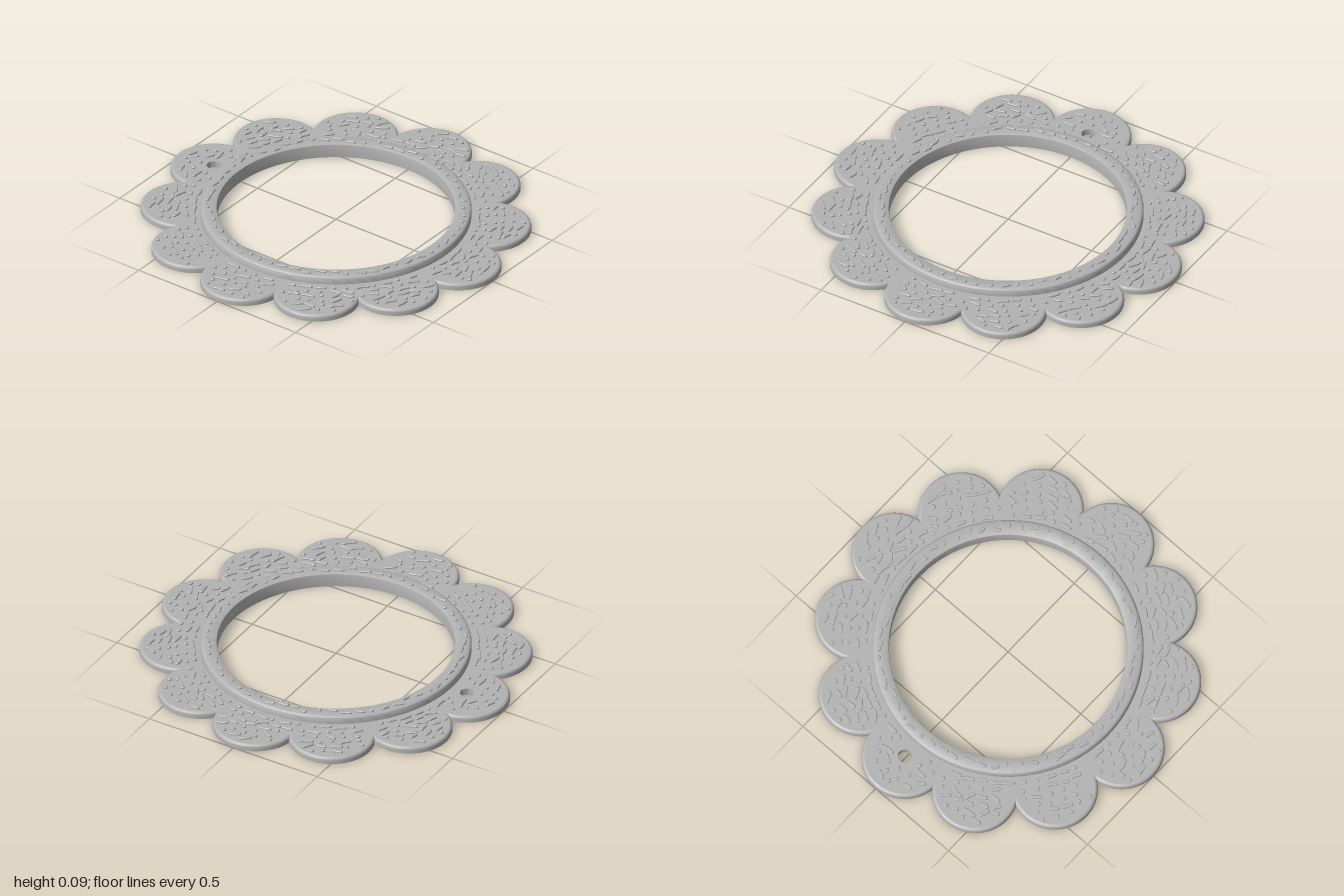
import * as THREE from 'three';
import { mergeGeometries, toCreasedNormals } from 'three/addons/utils/BufferGeometryUtils.js';

const PETALS = 12, CENTRE = 0.78, LOBE = 0.22;      // petal circles
const PLATE_TOP = 0.035, RING_TOP = 0.076, INNER = 0.605, OUTER = 0.69;
const HANG = { x: 0, z: -0.78, r: 0.036 };
const BLIND = [0, 1, 2].map(i => {
  const a = i * Math.PI * 2 / 3;
  return { x: 0.65 * Math.sin(a), z: -0.65 * Math.cos(a), r: 0.015 };
});

let seed = 7;
const rand = () => (seed = (seed * 16807) % 2147483647) / 2147483647;
const jitter = s => (rand() - 0.5) * 2 * s;

// Scalloped outline, shrunk inwards by d
function outline(d) {
  const pts = [], r = LOBE - d, half = Math.PI / PETALS, n = 24;
  const phi = half + Math.asin(CENTRE * Math.sin(half) / r);
  for (let k = 0; k < PETALS; k++) {
    const t = k * 2 * half;
    for (let i = 0; i < n; i++) {
      const a = t - phi + 2 * phi * i / n;
      pts.push(new THREE.Vector2(CENTRE * Math.cos(t) + r * Math.cos(a), CENTRE * Math.sin(t) + r * Math.sin(a)));
    }
  }
  return pts;
}

// Flat face of the flower; sign = 1 faces up, -1 faces down
function face(d, y, sign, holes) {
  const shape = new THREE.Shape(outline(d));
  for (const h of holes) shape.holes.push(new THREE.Path().absarc(h.x, -sign * h.z, h.r, 0, Math.PI * 2, true));
  return new THREE.ShapeGeometry(shape, 48).rotateX(-sign * Math.PI / 2).translate(0, y, 0);
}

// Outer wall with a rounded upper edge
function wall(levels) {
  const pos = [], idx = [], n = outline(0).length;
  for (const [y, d] of levels) for (const p of outline(d)) pos.push(p.x, y, -p.y);
  for (let l = 0; l < levels.length - 1; l++) {
    for (let i = 0; i < n; i++) {
      const j = (i + 1) % n, a = l * n + i, b = l * n + j;
      idx.push(a, b, b + n, a, b + n, a + n);
    }
  }
  const g = new THREE.BufferGeometry();
  g.setAttribute('position', new THREE.Float32BufferAttribute(pos, 3));
  g.setIndex(idx);
  return toCreasedNormals(g, 0.7);
}

const lathe = (pts, seg) =>
  toCreasedNormals(new THREE.LatheGeometry(pts.map(p => new THREE.Vector2(...p)), seg), 0.7);

// Raised stroke: a short curved bar with round ends (length 0 gives a dot)
function bump(x, z, y, angle, length, width) {
  const s = new THREE.Shape(), w = width / 2;
  if (length < 0.01) s.absarc(0, 0, w, 0, Math.PI * 2, false);
  else {
    const R = 0.09 + rand() * 0.1, h = length / 2 / R, m = Math.PI / 2;
    s.absarc(0, -R, R + w, m - h, m + h, false);
    s.absarc(R * Math.cos(m + h), R * Math.sin(m + h) - R, w, m + h, m + h + Math.PI, false);
    s.absarc(0, -R, R - w, m + h, m - h, true);
    s.absarc(R * Math.cos(m - h), R * Math.sin(m - h) - R, w, m - h + Math.PI, m - h + 2 * Math.PI, false);
  }
  const g = new THREE.ExtrudeGeometry(s, {
    depth: 0.009, curveSegments: 4, bevelEnabled: true, bevelSegments: 1,
    bevelSize: 0.003, bevelOffset: -0.003, bevelThickness: 0.003
  });
  if (rand() < 0.5) g.rotateZ(Math.PI);
  return g.rotateX(-Math.PI / 2).rotateY(angle).translate(x, y - 0.003, z);
}

function insideFlower(x, z, margin) {
  if (Math.hypot(x - HANG.x, z - HANG.z) < HANG.r + margin) return false;
  for (let k = 0; k < PETALS; k++) {
    const t = k * Math.PI * 2 / PETALS;
    if (Math.hypot(x - CENTRE * Math.cos(t), z - CENTRE * Math.sin(t)) < LOBE - margin) return true;
  }
  return false;
}

export function createModel() {
  const group = new THREE.Group();
  const grey = new THREE.MeshStandardMaterial({ color: 0xb2b2b2 });
  grey.name = 'plain grey';
  const add = (name, geometry) => {
    const m = new THREE.Mesh(geometry, grey);
    m.name = name;
    group.add(m);
    return m;
  };

  // Scalloped plate
  const opening = { x: 0, z: 0, r: INNER };
  add('plateTop', face(0.015, PLATE_TOP, 1, [opening, HANG]));
  add('plateUnderside', face(0, 0, -1, [opening, HANG, ...BLIND]));
  add('plateEdge', wall([[0, 0], [0.02, 0], [0.026, 0.0015], [0.031, 0.005], [0.034, 0.01], [PLATE_TOP, 0.015]]));

  // Raised ring, from its foot over the top and down the inner wall
  add('raisedRing', lathe([
    [OUTER, 0.03], [OUTER, 0.061], [OUTER - 0.002, 0.067], [OUTER - 0.006, 0.072], [OUTER - 0.015, RING_TOP],
    [INNER + 0.008, RING_TOP], [INNER + 0.002, RING_TOP - 0.003], [INNER, RING_TOP - 0.008], [INNER, 0]
  ], 128));

  // Hanging hole and blind holes underneath
  add('hangingHole', lathe([[HANG.r, PLATE_TOP], [HANG.r, 0]], 32)).position.set(HANG.x, 0, HANG.z);
  for (const h of BLIND) {
    add('blindHole', lathe([[0, 0.03], [h.r, 0.03], [h.r, 0]], 20)).position.set(h.x, 0, h.z);
  }

  // Sprinkled strokes and dots on the petals
  const petalBumps = [];
  for (let r = 0.725, row = 0; r < 0.99; r += 0.043, row++) {
    const n = Math.round(Math.PI * 2 * r / 0.07);
    for (let i = 0; i < n; i++) {
      const a = (i + (row % 2) / 2) / n * Math.PI * 2 + jitter(0.012), q = r + jitter(0.006);
      const x = q * Math.cos(a), z = q * Math.sin(a), dash = rand() < 0.58;
      if (!insideFlower(x, z, dash ? 0.045 : 0.025)) continue;
      const tilt = row === 0 ? jitter(0.2) : jitter(0.7);
      petalBumps.push(bump(x, z, PLATE_TOP, Math.PI / 2 - a + tilt, dash ? 0.03 + rand() * 0.03 : 0, dash ? 0.019 : 0.023));
    }
  }
  add('petalTexture', mergeGeometries(petalBumps));

  // Strokes and dots along the ring
  const ringBumps = [];
  for (let i = 0; i < 60; i++) {
    const a = i / 60 * Math.PI * 2 + jitter(0.01), q = 0.645 + jitter(0.016), dash = rand() < 0.5;
    ringBumps.push(bump(q * Math.cos(a), q * Math.sin(a), RING_TOP, Math.PI / 2 - a + jitter(0.4),
      dash ? 0.025 + rand() * 0.02 : 0, dash ? 0.017 : 0.022));
  }
  add('ringTexture', mergeGeometries(ringBumps));
  return group;
}
